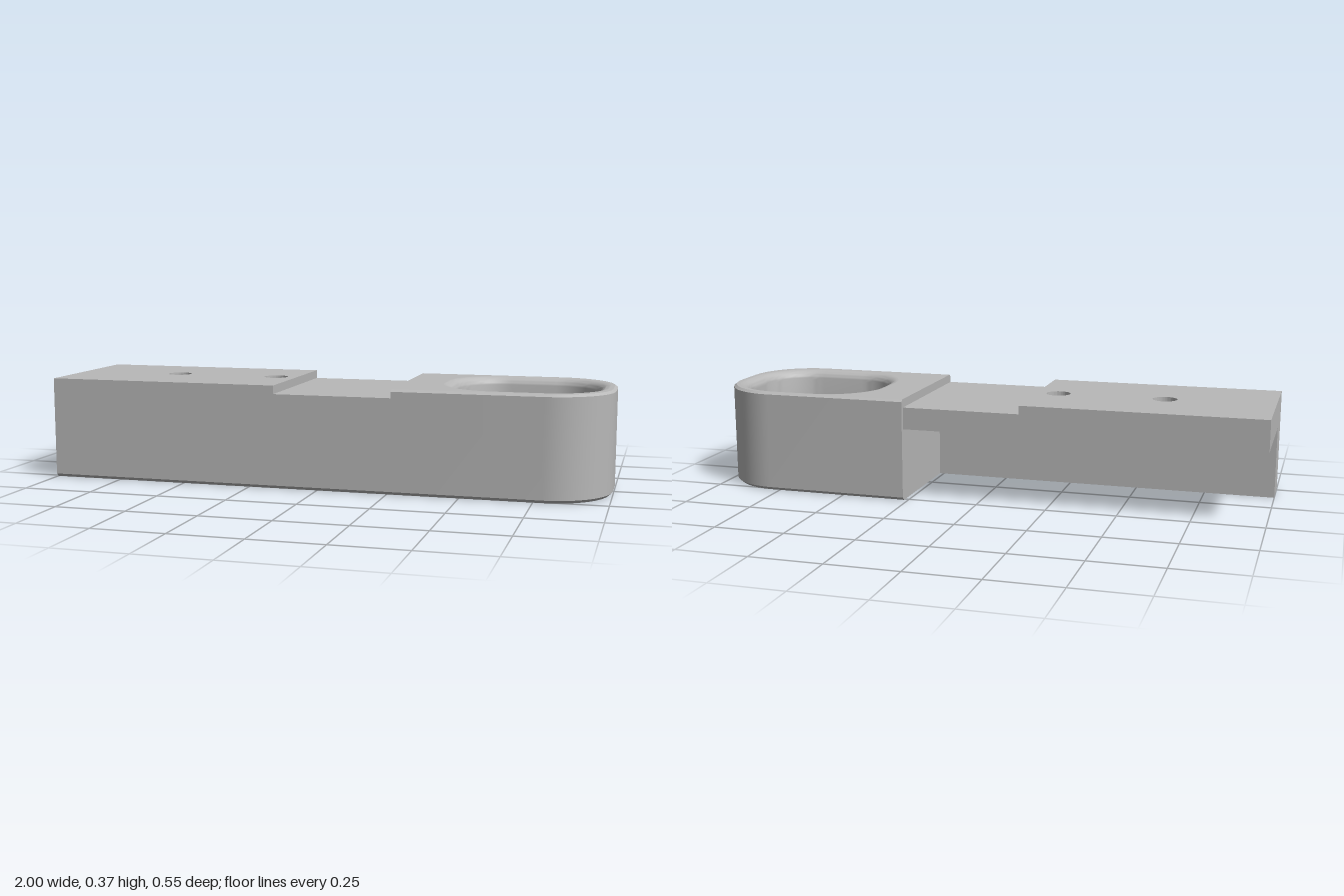
import * as THREE from 'three';
import { mergeGeometries, toCreasedNormals } from 'three/addons/utils/BufferGeometryUtils.js';

const TOP = 0.365, HEAD_X = 0.265, HALF = 0.273, BACK = -0.258;

// Points [x, z] of an arc, angle measured from +x towards +z
function arc(cx, cz, r, from, to, steps = 16) {
  return Array.from({ length: steps + 1 }, (_, i) => {
    const a = from + (to - from) * i / steps;
    return [cx + r * Math.cos(a), cz + r * Math.sin(a)];
  });
}

const Q = Math.PI / 2;

// Head outline, shrunk by an inset: front side, rounded end, back side
function headOutline(inset) {
  const r = 0.22, cz = HALF - r;
  return [
    [HEAD_X, HALF - inset],
    ...arc(1 - r, cz, r - inset, Q, 0),
    ...arc(1 - r, -cz, r - inset, 0, -Q),
    [HEAD_X, -HALF + inset],
  ];
}

// Opening outline, widened by an outset
function openingOutline(outset) {
  const x0 = 0.44, x1 = 0.94, z0 = -0.221, z1 = 0.203, r = 0.17;
  const pts = [
    ...arc(x0 + r, z1 - r, r + outset, 2 * Q, Q),
    ...arc(x1 - r, z1 - r, r + outset, Q, 0),
    ...arc(x1 - r, z0 + r, r + outset, 0, -Q),
    ...arc(x0 + r, z0 + r, r + outset, -Q, -2 * Q),
  ];
  return [...pts, pts[0]];
}

// Skin between successive outlines; levels are [offset, y]
function loft(outline, levels) {
  const rings = levels.map(([o, y]) => outline(o).map(([x, z]) => [x, y, z]));
  const pos = [];
  for (let j = 0; j < rings.length - 1; j++) {
    const lo = rings[j], hi = rings[j + 1];
    for (let i = 0; i < lo.length - 1; i++) {
      pos.push(...lo[i], ...lo[i + 1], ...hi[i + 1], ...lo[i], ...hi[i + 1], ...hi[i]);
    }
  }
  const g = new THREE.BufferGeometry();
  g.setAttribute('position', new THREE.Float32BufferAttribute(pos, 3));
  return toCreasedNormals(g, 0.5);
}

function plain(shape) {
  const g = new THREE.ShapeGeometry(shape).toNonIndexed();
  g.deleteAttribute('uv');
  return g;
}

const toShape = (pts, sign = 1) =>
  new THREE.Shape(pts.map(([x, z]) => new THREE.Vector2(x, z * sign)));

// Flat ring closing the head at the top (up = 1) or bottom (up = -1)
function headCap(up, inset, outset, y) {
  const shape = toShape(headOutline(inset), -up);
  shape.holes.push(toShape(openingOutline(outset).slice(0, -1), -up));
  return plain(shape).rotateX(-up * Q).translate(0, y, 0);
}

function headGeometry() {
  const outer = [[0.012, 0], [0, 0.011], [0, TOP - 0.008], [0.01, TOP]];
  // Rounded lips at both ends of the opening
  const f = 0.035, n = 8, upper = [], lower = [];
  for (let i = 0; i <= n; i++) {
    const t = Q * i / n, o = f * (1 - Math.sin(t)), d = f * (1 - Math.cos(t));
    upper.push([o, TOP - d]);
    lower.unshift([o, d]);
  }
  const endPts = [
    ...outer.map(([o, y]) => [HALF - o, y]),
    ...[...outer].reverse().map(([o, y]) => [-HALF + o, y]),
  ];
  return mergeGeometries([
    loft(headOutline, outer),
    loft(openingOutline, [...upper, ...lower]),
    headCap(1, 0.01, f, TOP),
    headCap(-1, 0.012, f, 0),
    plain(toShape(endPts)).rotateY(-Q).translate(HEAD_X, 0, 0),
  ]);
}

// Horizontal plate with round holes at the given x positions
function plateGeometry(x0, x1, y0, y1, holes) {
  const shape = toShape([[x0, -HALF], [x1, -HALF], [x1, -BACK], [x0, -BACK]]);
  for (const x of holes) {
    shape.holes.push(new THREE.Path().absarc(x, 0, 0.043, 0, Math.PI * 2, true));
  }
  const g = new THREE.ExtrudeGeometry(shape, { depth: y1 - y0, bevelEnabled: false, curveSegments: 32 });
  return toCreasedNormals(g.rotateX(-Q).translate(0, y0, 0), 0.5);
}

export function createModel() {
  const grey = new THREE.MeshStandardMaterial({ color: 0xb8b8b8 });
  grey.name = 'grey';
  const model = new THREE.Group();
  model.name = 'bracket';
  const add = (name, geometry) => {
    const mesh = new THREE.Mesh(geometry, grey);
    mesh.name = name;
    model.add(mesh);
  };

  const plateY = 0.257, stepX = -0.155;
  add('ringHead', headGeometry());
  add('drilledPlate', plateGeometry(-1, stepX, plateY, TOP, [-0.617, -0.234]));
  add('recessedPlate', plateGeometry(stepX, HEAD_X, plateY, 0.335, []));

  // Front wall under the plates, chamfered along its lower outer edge
  const wall = toShape([[0.137, 0], [HALF - 0.012, 0], [HALF, 0.011], [HALF, plateY], [0.137, plateY]]);
  add('frontWall', new THREE.ExtrudeGeometry(wall, { depth: HEAD_X + 1, bevelEnabled: false })
    .rotateY(-Q).translate(HEAD_X, 0, 0));

  return model;
}
